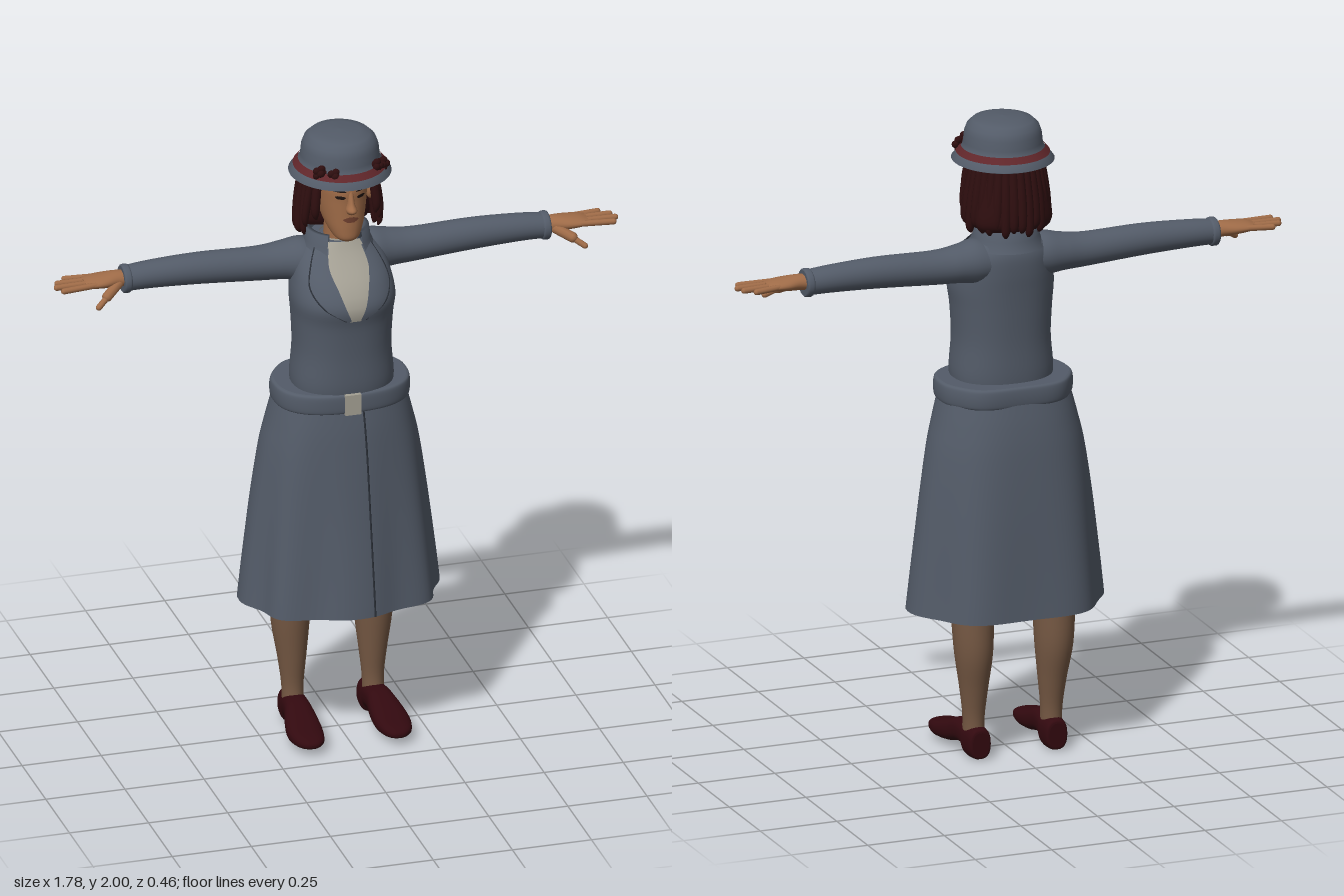
import * as THREE from 'three';

const mat = (name, color, side = THREE.FrontSide) => {
  const m = new THREE.MeshStandardMaterial({ color, side });
  m.name = name;
  return m;
};

// Surface through rows of points; closed rows wrap round, caps fill the two ends
function grid(rows, closed, caps) {
  const n = rows[0].length, pos = [], idx = [];
  rows.forEach(r => r.forEach(p => pos.push(...p)));
  for (let i = 0; i < rows.length - 1; i++) {
    for (let j = 0; j < (closed ? n : n - 1); j++) {
      const k = (j + 1) % n, a = i * n + j, b = i * n + k, c = a + n, d = b + n;
      idx.push(a, c, b, b, c, d);
    }
  }
  if (caps) [rows[0], rows[rows.length - 1]].forEach((r, end) => {
    const o = pos.length / 3;
    r.forEach(p => pos.push(...p));
    pos.push(...[0, 1, 2].map(k => r.reduce((s, p) => s + p[k], 0) / n));
    for (let j = 0; j < n; j++) {
      const k = (j + 1) % n;
      if (end) idx.push(o + n, o + k, o + j); else idx.push(o + n, o + j, o + k);
    }
  });
  const g = new THREE.BufferGeometry();
  g.setAttribute('position', new THREE.Float32BufferAttribute(pos, 3));
  g.setIndex(idx);
  g.computeVertexNormals();
  return g;
}

// Rings are [y, centre x, half width, back z, front z]; dense() smooths them
function dense(rings, sub = 5) {
  const out = [], last = rings.length - 1;
  for (let s = 0; s <= last * sub; s++) {
    const i = Math.min(Math.floor(s / sub), last - 1), t = s / sub - i;
    const [p, a, b, q] = [i - 1, i, i + 1, i + 2].map(k => rings[Math.max(0, Math.min(last, k))]);
    out.push(a.map((v, k) => {
      const m0 = (b[k] - p[k]) / 2, m1 = (q[k] - v) / 2, d = b[k] - v;
      return v + m0 * t + (3 * d - 2 * m0 - m1) * t * t + (m0 + m1 - 2 * d) * t * t * t;
    }));
  }
  return out;
}
const spow = (v, e) => Math.sign(v) * Math.abs(v) ** e;
function section([y, cx, hw, zb, zf], t, n, ripple) {
  const f = 1 + (ripple ? ripple(t, y) : 0), e = 2 / n;
  return [cx + hw * f * spow(Math.cos(t), e), y, (zb + zf) / 2 + (zf - zb) / 2 * f * spow(Math.sin(t), e)];
}
function loft(rings, { n = 2, seg = 28, sub = 5, caps = true, ripple } = {}) {
  return grid(dense(rings, sub).map(r =>
    Array.from({ length: seg }, (_, j) => section(r, j / seg * Math.PI * 2, n, ripple))), true, caps);
}
// Front z of a lofted body at (x, y)
function frontZ(rings, x, y, n) {
  const d = dense(rings);
  let i = 0;
  while (i < d.length - 2 && d[i + 1][0] < y) i++;
  const t = Math.max(0, Math.min(1, (y - d[i][0]) / (d[i + 1][0] - d[i][0])));
  const [, cx, hw, zb, zf] = d[i].map((v, k) => v + (d[i + 1][k] - v) * t);
  const u = Math.min(0.96, Math.abs((x - cx) / hw));
  return (zb + zf) / 2 + (zf - zb) / 2 * (1 - u ** n) ** (1 / n);
}
// Thin panel laid on a body; rows are [y, x from, x to] from top to bottom
const panel = (body, n, rows, off) => grid(dense(rows, 4).map(([y, a, b]) =>
  Array.from({ length: 11 }, (_, j) => {
    const x = a + (b - a) * j / 10;
    return [x, y, frontZ(body, x, y, n) + off];
  })), false, false);

const tube = (pts, r) => new THREE.TubeGeometry(
  new THREE.CatmullRomCurve3(pts.map(p => new THREE.Vector3(...p))), 32, r, 6);
function capsule(a, b, r) {
  const A = new THREE.Vector3(...a), B = new THREE.Vector3(...b), d = B.clone().sub(A);
  const g = new THREE.CapsuleGeometry(r, d.length(), 4, 10);
  g.applyQuaternion(new THREE.Quaternion().setFromUnitVectors(new THREE.Vector3(0, 1, 0), d.normalize()));
  return g.translate(...A.add(B).multiplyScalar(0.5).toArray());
}
const lathe = (pts, ...a) => new THREE.LatheGeometry(pts.map(p => new THREE.Vector2(...p)), ...a);

export function createModel() {
  const D = THREE.DoubleSide;
  const suit = mat('suit grey', 0x535b68, D), seam = mat('seam dark', 0x2b3038), shirt = mat('shirt cream', 0xa39f93, D);
  const skin = mat('skin', 0xa06c48), stocking = mat('stocking', 0x755843), hair = mat('hair', 0x2e0e0f);
  const leather = mat('shoe leather', 0x32090f), band = mat('band red', 0x60262a, D);
  const lip = mat('lips', 0x70402f, D), dark = mat('eye dark', 0x1c1210, D);
  const model = new THREE.Group();
  const add = (name, geo, m, parent = model) => {
    const mesh = new THREE.Mesh(geo, m);
    mesh.name = name;
    parent.add(mesh);
    return mesh;
  };

  // Jacket body with shirt front
  const torso = [[1.14, 0, .152, -.1, .155], [1.2, 0, .158, -.105, .164], [1.3, 0, .15, -.105, .165],
    [1.4, 0, .154, -.11, .172], [1.47, 0, .16, -.115, .185], [1.53, 0, .152, -.12, .156],
    [1.58, 0, .138, -.12, .11], [1.615, 0, .112, -.11, .078], [1.645, 0, .075, -.095, .058]];
  add('jacket', loft(torso, { n: 2.3, seg: 40 }), suit);
  add('shirtFront', panel(torso, 2.3, [[1.645, -.05, .05], [1.6, -.066, .066], [1.53, -.05, .05], [1.43, -.018, .018]], .005), shirt);
  add('shirtCollar', lathe([[.066, 1.6], [.058, 1.65]], 32), shirt).position.z = -.005;
  add('collar', lathe([[.118, 1.6], [.101, 1.632], [.096, 1.67], [.084, 1.671], [.078, 1.62]], 36, .58, Math.PI * 2 - 1.16), suit)
    .position.z = -.014;

  // Skirt with folds, front seam, belt and buckle
  const folds = (t, y) => .04 * Math.min(1, (1.13 - y) / .6) * Math.cos((Math.sin(t) >= 0 ? 8 : 6) * t);
  const skirt = [[1.125, 0, .205, -.15, .16], [1.05, 0, .224, -.168, .172], [.95, 0, .246, -.184, .182],
    [.75, 0, .273, -.205, .2], [.46, 0, .303, -.229, .23]].reverse();
  add('skirt', loft(skirt, { n: 2.3, seg: 96, caps: false, ripple: folds }), suit);
  add('skirtSeam', tube(dense(skirt).map(r => section(r, 1.457, 2.3, folds)), .003), seam);
  add('belt', loft([[1.115, 0, .202, -.146, .157], [1.121, 0, .211, -.155, .166], [1.148, 0, .214, -.158, .168],
    [1.174, 0, .211, -.155, .166], [1.18, 0, .202, -.146, .157]],
  { n: 2.5, seg: 64, ripple: t => Math.sin(t) < 0 ? .02 * (Math.cos(6 * t) - 1) : 0 }), suit);
  add('buckle', new THREE.BoxGeometry(.05, .066, .016).translate(-.005, 1.148, .167), shirt);

  // Paired parts: modelled on +x and mirrored
  for (const side of [1, -1]) {
    const half = new THREE.Group();
    half.name = side > 0 ? 'leftSide' : 'rightSide';
    half.scale.x = side;
    model.add(half);

    // Lapel with dark edge
    const lapel = [[1.63, .052, .085], [1.58, .062, .112], [1.53, .048, .125], [1.48, .032, .098], [1.435, .014, .03]];
    add('lapel', panel(torso, 2.3, lapel, .009), suit, half);
    add('lapelEdge', tube(lapel.map(([y, , x]) => [x, y, frontZ(torso, x, y, 2.3) + .008]), .0025), seam, half);

    // Sleeve and cuff
    const alongX = g => g.rotateZ(-Math.PI / 2);
    add('sleeve', alongX(loft([[.05, -1.56, .055, -.1, .04], [.11, -1.563, .068, -.105, .042], [.17, -1.562, .059, -.1, .025],
      [.25, -1.56, .053, -.092, .014], [.43, -1.568, .049, -.09, .008], [.58, -1.568, .043, -.087, .002],
      [.665, -1.564, .039, -.082, 0]])), suit, half);
    add('cuff', alongX(loft([[.65, -1.564, .04, -.083, .001], [.655, -1.564, .044, -.087, .005],
      [.669, -1.564, .044, -.087, .005], [.674, -1.564, .04, -.083, .001]])), suit, half);

    // Hand with fingers and thumb
    add('palm', alongX(loft([[.65, -1.565, .025, -.07, -.012], [.69, -1.569, .024, -.072, -.008], [.73, -1.569, .021, -.08, .002],
      [.77, -1.569, .016, -.081, .004], [.795, -1.569, .009, -.076, 0]])), skin, half);
    [[-.071, -.082, .842], [-.05, -.055, .872], [-.027, -.027, .882], [-.006, .003, .868]].forEach(([z0, z1, x]) =>
      add('finger', capsule([.765, 1.57, z0], [x, 1.568, z1], .0095), skin, half));
    add('thumbBase', capsule([.69, 1.56, -.02], [.735, 1.538, .015], .016), skin, half);
    add('thumb', capsule([.73, 1.54, .013], [.768, 1.515, .036], .0095), skin, half);

    // Leg and shoe
    add('leg', loft([[.06, .127, .033, -.1, -.02], [.13, .127, .034, -.1, -.028], [.22, .128, .044, -.116, -.02],
      [.33, .131, .058, -.14, -.008], [.45, .132, .065, -.14, .004], [.62, .128, .075, -.13, .035],
      [.85, .11, .09, -.12, .06]]), stocking, half);
    add('shoe', loft([[-.12, .125, .026, -.085, -.008], [-.112, .125, .035, -.096, 0], [-.065, .126, .04, -.1, 0],
      [-.045, .127, .04, -.103, -.024], [0, .13, .042, -.104, -.027], [.05, .134, .051, -.088, -.014],
      [.11, .138, .055, -.068, -.01], [.165, .138, .044, -.055, -.016], [.19, .137, .024, -.044, -.022],
      [.196, .137, .008, -.036, -.028]], { n: 2.5 }).rotateX(Math.PI / 2), leather, half);
  }

  // Head, neck and face
  const head = [[1.668, 0, .024, .055, .113], [1.68, 0, .04, .02, .126], [1.71, 0, .056, -.03, .129], [1.75, 0, .067, -.07, .13],
    [1.8, 0, .073, -.085, .132], [1.85, 0, .074, -.09, .134], [1.9, 0, .064, -.08, .112]];
  add('neck', loft([[1.58, 0, .05, -.07, .045], [1.65, 0, .044, -.06, .052], [1.73, 0, .045, -.06, .06]]), skin);
  add('head', loft(head, { n: 2.2 }), skin);
  add('nose', loft([[1.768, 0, .01, .11, .142], [1.783, 0, .017, .11, .163], [1.805, 0, .011, .11, .15], [1.845, 0, .009, .11, .134]], { seg: 14 }), skin);
  add('mouth', panel(head, 2.2, [[1.757, -.008, .008], [1.749, -.025, .025], [1.739, -.01, .01]], .004), lip);
  for (const s of [1, -1]) {
    const at = (y, c, w) => [y, s * c - w, s * c + w];
    add('eye', panel(head, 2.2, [at(1.829, .032, .008), at(1.824, .032, .015), at(1.818, .032, .008)], .003), dark);
    add('eyebrow', panel(head, 2.2, [at(1.848, .036, .014), at(1.842, .034, .02)], .004), dark);
    add('ear', new THREE.SphereGeometry(1, 14, 10).scale(.012, .03, .018).translate(s * .092, 1.79, .02), skin);
  }

  // Bobbed hair: inner mass and hanging locks
  add('hairMass', loft([[1.67, 0, .112, -.125, -.015], [1.7, 0, .124, -.142, -.002], [1.78, 0, .112, -.137, .005],
    [1.86, 0, .1, -.122, .03], [1.9, 0, .09, -.1, .06]]), hair);
  const lock = (x, z, spread, end, r, fwd = 0) => {
    const ring = (y, k, w, f) => [y, x * k, w, z * k + f - w, z * k + f + w];
    add('hairLock', loft([ring(end, spread - .04, r * .25, fwd), ring(end + .025, spread, r * .85, fwd),
      ring(end + (1.88 - end) * .5, 1 + (spread - 1) * .6, r, fwd * .5), ring(1.89, .94, r * .8, 0)], { seg: 10, sub: 4 }), hair);
  };
  for (let i = 0; i <= 16; i++) {
    const t = Math.PI * (1 + i / 16);
    lock(.108 * Math.cos(t), -.012 + .112 * Math.sin(t), 1.17, 1.665 + .012 * Math.sin(i * 2.4), .0165, .012 * Math.abs(Math.cos(t)));
  }
  for (const s of [1, -1]) {
    lock(s * .088, .07, 1.1, 1.735, .015);
    lock(s * .1, .045, 1.18, 1.7, .013, -.012);
    lock(s * .108, .012, 1.12, 1.67, .012, .016);
  }

  // Cloche hat with band and flowers
  const fit = g => g.scale(1, 1, 1.05).translate(0, 0, .013);
  add('hat', fit(lathe([[.09, 1.882], [.15, 1.863], [.156, 1.866], [.14, 1.886], [.124, 1.904], [.12, 1.922], [.117, 1.95],
    [.109, 1.972], [.092, 1.988], [.06, 1.997], [0, 2]], 48)), suit);
  add('hatBand', fit(lathe([[.1425, 1.888], [.127, 1.906]], 48)), band);
  [[-.09, .108], [-.05, .128], [.085, .108], [.112, .085]].forEach(([x, z], f) => {
    for (let p = 0; p < 6; p++) {
      const a = p / 5 * Math.PI * 2, r = p < 5 ? .013 : 0;
      add('petal', new THREE.SphereGeometry(1, 10, 8).scale(.013, .012, .01)
        .translate(x + r * Math.cos(a), 1.906 - (f % 2) * .006 + r * Math.sin(a), z + (p < 5 ? 0 : .007)), hair);
    }
  });
  return model;
}
